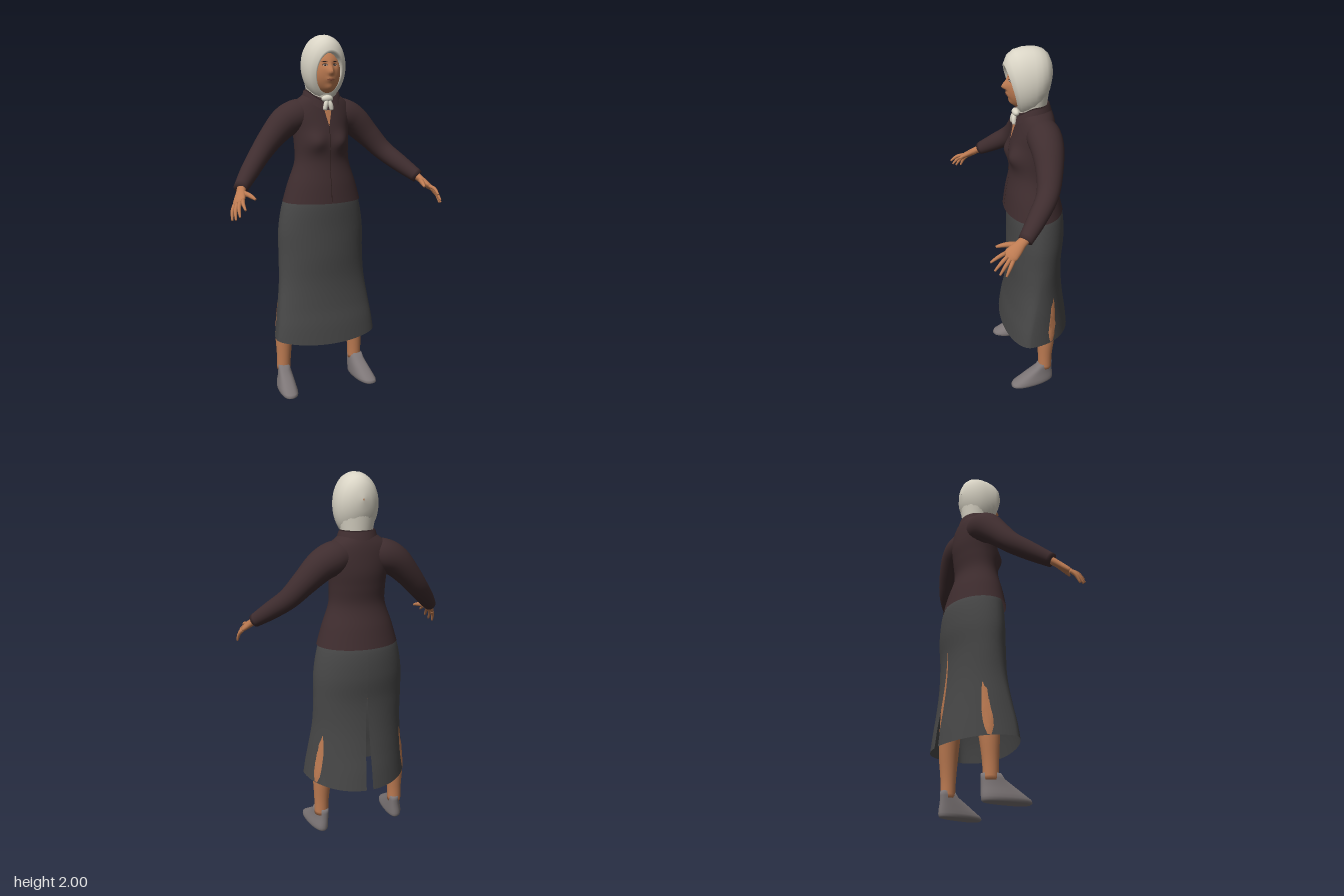
import * as THREE from 'three';

const V = (x, y, z) => new THREE.Vector3(x, y, z);
const mat = (name, color) => {
  const m = new THREE.MeshStandardMaterial({ color, side: THREE.DoubleSide });
  m.name = name;
  return m;
};

// Smooth surface through rings of points; winding is corrected to face outward.
function loft(rings, closed = true, caps = false) {
  const n = rings[0].length, pts = rings.flat(), idx = [];
  for (let i = 0; i < rings.length - 1; i++) {
    for (let j = 0; j < (closed ? n : n - 1); j++) {
      const a = i * n + j, b = i * n + (j + 1) % n;
      idx.push(a, a + n, b, b, a + n, b + n);
    }
  }
  if (caps) {
    [0, rings.length - 1].forEach((r, end) => {
      const c = pts.length;
      pts.push(rings[r].reduce((s, p) => s.add(p), V(0, 0, 0)).divideScalar(n));
      for (let j = 0; j < n; j++) {
        const a = r * n + j, b = r * n + (j + 1) % n;
        if (end) idx.push(a, c, b); else idx.push(c, a, b);
      }
    });
  }
  const mid = new THREE.Box3().setFromPoints(pts).getCenter(V(0, 0, 0));
  let vol = 0;
  for (let i = 0; i < idx.length; i += 3) {
    const [a, b, c] = [0, 1, 2].map(k => pts[idx[i + k]].clone().sub(mid));
    vol += a.dot(b.cross(c));
  }
  if (vol < 0) idx.reverse();
  const g = new THREE.BufferGeometry().setFromPoints(pts);
  g.setIndex(idx);
  g.computeVertexNormals();
  return g;
}

const ring = (c, u, v, n = 20) => Array.from({ length: n }, (_, i) => {
  const t = i / n * Math.PI * 2;
  return c.clone().addScaledVector(u, Math.cos(t)).addScaledVector(v, Math.sin(t));
});

// Round limb along points [x, y, z, radius], mirrored by s
function limb(rows, s = 1, n = 16, steps = 20) {
  const path = new THREE.CatmullRomCurve3(rows.map(r => V(r[0] * s, r[1], r[2])));
  const radius = new THREE.CatmullRomCurve3(rows.map((r, i) => V(i, r[3], 0)));
  const rings = [];
  const side = V(0.3, 0.2, 1);
  for (let i = 0; i <= steps; i++) {
    const d = path.getTangent(i / steps), r = radius.getPoint(i / steps).y;
    const u = side.clone().cross(d).normalize(), v = d.clone().cross(u);
    rings.push(ring(path.getPoint(i / steps), u.multiplyScalar(r), v.multiplyScalar(r), n));
  }
  return loft(rings, true, true);
}

// Smooth body surface from rows [y, halfWidth, zFront, zBack, zWidest]; angle 0 is the front
function body(rows, bump = () => 0) {
  const slope = (i, k) => {
    const a = rows[Math.max(i - 1, 0)], b = rows[Math.min(i + 1, rows.length - 1)];
    return (b[k] - a[k]) / (b[0] - a[0]);
  };
  return (y, a, off = 0) => {
    let i = 0;
    while (i < rows.length - 2 && y > rows[i + 1][0]) i++;
    const h = rows[i + 1][0] - rows[i][0], t = (y - rows[i][0]) / h, t2 = t * t, t3 = t2 * t;
    const f = k => (2 * t3 - 3 * t2 + 1) * rows[i][k] + (t3 - 2 * t2 + t) * h * slope(i, k)
      + (3 * t2 - 2 * t3) * rows[i + 1][k] + (t3 - t2) * h * slope(i + 1, k);
    const s = Math.sin(a), c = Math.cos(a), zc = f(4), x = f(1) * s;
    const z = zc + (c > 0 ? f(2) - zc : zc - f(3)) * c;
    return V(x + off * s, y, z + off * c + (c > 0 ? bump(x, y) : 0));
  };
}

const around = (f, y0, y1, rows = 30, n = 56) => loft(Array.from({ length: rows + 1 }, (_, i) =>
  Array.from({ length: n }, (_, j) => f(y0 + (y1 - y0) * i / rows, j / n * Math.PI * 2))));

// Thin strip laid on a body surface: rows [y, angle0, angle1]
const patch = (f, rows) => loft(rows.map(([y, a, b]) =>
  Array.from({ length: 5 }, (_, j) => f(y, a + (b - a) * j / 4, 0.004))), false);

const gauss = (d, w) => Math.exp(-(d * d) / (w * w));

export function createModel() {
  const model = new THREE.Group();
  const skin = mat('skin', 0xbd7b52), scarf = mat('scarf cloth', 0xdad5c6), jacket = mat('jacket cloth', 0x3f2d2f);
  const skirt = mat('skirt cloth', 0x474747), sock = mat('sock cloth', 0x7d7677);
  const lip = mat('lips', 0x96583f), dark = mat('dark detail', 0x2a1c1a), white = mat('eye white', 0xc9bdb0);
  const add = (name, geo, m) => {
    const mesh = new THREE.Mesh(geo, m);
    mesh.name = name;
    model.add(mesh);
    return mesh;
  };

  // Jacket
  const torso = body([
    [1.10, 0.226, 0.08, -0.24, -0.07], [1.2, 0.197, 0.068, -0.215, -0.07], [1.32, 0.157, 0.048, -0.18, -0.07],
    [1.42, 0.155, 0.052, -0.187, -0.08], [1.5, 0.162, 0.042, -0.195, -0.09], [1.58, 0.175, 0.024, -0.19, -0.09],
    [1.64, 0.155, 0.01, -0.18, -0.09], [1.68, 0.105, -0.002, -0.165, -0.08], [1.7, 0.08, -0.015, -0.15, -0.08],
  ], (x, y) => 0.026 * gauss(Math.abs(x) - 0.075, 0.05) * gauss(y - 1.435, 0.05));
  add('jacket', around(torso, 1.7, 1.1, 40), jacket);
  const collarRing = (r, y) => Array.from({ length: 40 }, (_, j) => {
    const a = j / 40 * Math.PI * 2, c = Math.cos(a);
    return V(r * Math.sin(a), y - 0.06 * Math.max(0, c) ** 2, -0.073 + (r - 0.01) * c);
  });
  add('collar', loft([collarRing(0.11, 1.665), collarRing(0.098, 1.705), collarRing(0.09, 1.712), collarRing(0.085, 1.68)]), jacket);
  add('neckline', patch(torso, [[1.52, -0.005, 0.005], [1.57, -0.07, 0.07], [1.62, -0.14, 0.14], [1.66, -0.16, 0.16]]), skin);
  add('jacketSeam', patch(torso, [1.53, 1.46, 1.4, 1.3, 1.2, 1.11].map(y => [y, -0.008, 0.008])), dark);

  // Skirt with an open back vent
  const skirtSurface = body([
    [0.28, 0.303, 0.105, -0.29, 0.0], [0.4, 0.288, 0.09, -0.276, -0.01], [0.5, 0.275, 0.072, -0.26, -0.03],
    [0.65, 0.257, 0.058, -0.242, -0.06], [0.8, 0.253, 0.06, -0.236, -0.08], [0.95, 0.25, 0.058, -0.248, -0.08],
    [1.1, 0.222, 0.058, -0.236, -0.08], [1.16, 0.19, 0.045, -0.2, -0.08],
  ]);
  add('skirt', loft(Array.from({ length: 41 }, (_, i) => Array.from({ length: 73 }, (_, j) => {
    const t = i / 40, a0 = (j / 36 - 1) * Math.PI;
    const y = 1.16 + (0.32 - 0.025 * Math.cos(a0) ** 2 - 1.16) * t;
    const gap = 0.065 * Math.sqrt(Math.max(0, (0.82 - y) / 0.52));
    return skirtSurface(y, a0 * (1 - gap / Math.PI));
  })), false), skirt);

  // Headscarf: rings from the face opening to the back, [z, y centre, half width, half height, lean]
  const hood = [
    [0.0, 1.805, 0.066, 0.1, 0.3], [0.038, 1.805, 0.069, 0.102, 0.3], [0.043, 1.807, 0.078, 0.114, 0.28],
    [0.025, 1.815, 0.101, 0.15, 0.2], [0.0, 1.823, 0.11, 0.166, 0.14], [-0.03, 1.828, 0.115, 0.171, 0.06],
    [-0.065, 1.83, 0.116, 0.17, 0], [-0.095, 1.838, 0.111, 0.157, 0], [-0.125, 1.85, 0.098, 0.133, 0],
    [-0.15, 1.86, 0.074, 0.1, 0], [-0.166, 1.866, 0.042, 0.056, 0], [-0.172, 1.87, 0.004, 0.005, 0],
  ];
  add('headscarf', loft(hood.map(([z, y, w, h, k]) => ring(V(0, y, z), V(w, 0, 0), V(0, h, k * h), 44))), scarf);
  const neck = body([[1.6, 0.07, -0.01, -0.135, -0.07], [1.7, 0.085, 0.01, -0.148, -0.07], [1.8, 0.104, 0.01, -0.16, -0.07]]);
  add('scarfNeck', around(neck, 1.8, 1.6, 10, 40), scarf);
  const knot = add('scarfKnot', new THREE.SphereGeometry(0.022, 18, 12), scarf);
  knot.position.set(0, 1.664, 0.014);
  knot.scale.set(1.5, 0.9, 0.9);
  for (const s of [-1, 1]) {
    add('scarfTail', limb([[0.004, 1.66, 0.018, 0.008], [0.013, 1.635, 0.026, 0.013], [0.02, 1.605, 0.028, 0.011]], s, 10, 8), scarf);
  }

  // Face
  const relief = (x, y) => 0.026 * gauss(x, 0.012) * gauss(y - 1.803, y > 1.803 ? 0.032 : 0.011)
    - 0.008 * gauss(Math.abs(x) - 0.027, 0.016) * gauss(y - 1.843, 0.014)
    + 0.007 * gauss(x, 0.022) * gauss(y - 1.766, 0.013) + 0.01 * gauss(x, 0.025) * gauss(y - 1.72, 0.02);
  const faceZ = (x, y) => -0.02 + 0.083 * Math.sqrt(Math.max(0, 1 - (x / 0.085) ** 2 - ((y - 1.805) / 0.118) ** 2)) + relief(x, y);
  const face = new THREE.SphereGeometry(1, 64, 48);
  face.scale(0.085, 0.118, 0.083).translate(0, 1.805, -0.02);
  const fp = face.attributes.position;
  for (let i = 0; i < fp.count; i++) {
    if (fp.getZ(i) > -0.015) fp.setZ(i, fp.getZ(i) + relief(fp.getX(i), fp.getY(i)));
  }
  face.computeVertexNormals();
  add('face', face, skin);
  const spot = (name, x, y, w, h, m, off, tilt = 0) => {
    const g = new THREE.CircleGeometry(1, 16).scale(w, h, 1).rotateZ(tilt).translate(x, y, 0);
    const p = g.attributes.position;
    for (let i = 0; i < p.count; i++) p.setZ(i, faceZ(p.getX(i), p.getY(i)) + off);
    g.computeVertexNormals();
    add(name, g, m);
  };
  spot('mouth', 0, 1.766, 0.021, 0.006, lip, 0.002);
  for (const s of [-1, 1]) {
    spot('eyelid', s * 0.028, 1.843, 0.014, 0.006, dark, 0.0015);
    spot('eye', s * 0.028, 1.842, 0.011, 0.0042, white, 0.0025);
    spot('iris', s * 0.028, 1.842, 0.0045, 0.0042, dark, 0.0035);
    spot('eyebrow', s * 0.03, 1.86, 0.016, 0.0025, dark, 0.002, -s * 0.12);
  }

  for (const s of [-1, 1]) {
    // Sleeve
    add('sleeve', limb([
      [0.06, 1.585, -0.095, 0.075], [0.13, 1.572, -0.098, 0.089], [0.2, 1.54, -0.098, 0.085], [0.29, 1.455, -0.085, 0.069],
      [0.37, 1.367, -0.053, 0.057], [0.45, 1.29, 0.022, 0.049], [0.522, 1.222, 0.1, 0.037],
    ], s, 24, 36), jacket);

    // Hand: flat palm, four fingers and a thumb
    const across = V(0.66 * s, -0.49, -0.57), along = V(0.27 * s, -0.47, 0.84);
    const normal = across.clone().cross(along).normalize();
    const palm = [[0.508, 1.236, 0.083, 0.024, 0.022], [0.525, 1.212, 0.12, 0.026, 0.02], [0.54, 1.192, 0.15, 0.034, 0.018],
      [0.552, 1.175, 0.175, 0.038, 0.016], [0.56, 1.166, 0.193, 0.034, 0.011]];
    add('palm', loft(palm.map(([x, y, z, w, h]) => ring(V(x * s, y, z),
      across.clone().multiplyScalar(w), normal.clone().multiplyScalar(h), 18)), true, true), skin);
    const tips = [[0.55, 1.145, 0.28], [0.575, 1.11, 0.265], [0.59, 1.092, 0.243], [0.6, 1.085, 0.213]];
    tips.forEach(([x, y, z], i) => {
      const k = (i - 1.5) * 0.018, b = [0.558 + 0.66 * k, 1.168 - 0.49 * k, 0.188 - 0.57 * k];
      add('finger', limb([[...b, 0.0105],
        [(b[0] + x) / 2 + 0.005, (b[1] + y) / 2 + 0.007, (b[2] + z) / 2, 0.0095], [x, y, z, 0.0055]], s, 10, 8), skin);
    });
    add('thumb', limb([[0.527, 1.205, 0.125, 0.016], [0.505, 1.203, 0.175, 0.0135], [0.494, 1.196, 0.21, 0.011], [0.485, 1.187, 0.237, 0.006]], s, 10, 10), skin);

    // Leg, and the tear in the skirt that shows it
    add('leg', limb([[0.11, 0.95, -0.1, 0.095], [0.15, 0.72, -0.1, 0.08], [0.19, 0.5, -0.11, 0.062],
      [0.218, 0.34, -0.108, 0.054], [0.225, 0.2, -0.104, 0.042], [0.227, 0.1, -0.104, 0.039]], s, 20, 24), skin);
    const tear = [[0.5, 2.0, 2.01], [0.45, 1.99, 2.13], [0.43, 1.98, 2.17], [0.39, 2.02, 2.12], [0.35, 2.06, 2.07]];
    add('skirtTear', patch(skirtSurface, tear.map(([y, a, b]) => [y, s * a, s * b])), skin);

    // Sock: level slices [y, half width, heel z, toe z, x centre]
    const slices = [[0.135, 0.033, -0.15, -0.058, 0.227], [0.11, 0.036, -0.15, -0.04, 0.228], [0.085, 0.04, -0.15, 0.0, 0.23],
      [0.06, 0.045, -0.151, 0.04, 0.233], [0.04, 0.049, -0.153, 0.07, 0.236], [0.022, 0.052, -0.153, 0.1, 0.238],
      [0.008, 0.051, -0.152, 0.108, 0.238], [0.0, 0.044, -0.145, 0.098, 0.238]];
    add('sock', loft(slices.map(([y, w, z0, z1, x]) => Array.from({ length: 28 }, (_, j) => {
      const a = j / 28 * Math.PI * 2, c = Math.cos(a), d = Math.sin(a);
      const px = Math.sign(c) * Math.abs(c) ** 0.8 * w * (1 + 0.12 * d);
      return V((x + px + 0.012 * d) * s, y, (z0 + z1) / 2 + Math.sign(d) * Math.abs(d) ** 0.9 * (z1 - z0) / 2);
    })), true, true), sock);
  }
  return model;
}
